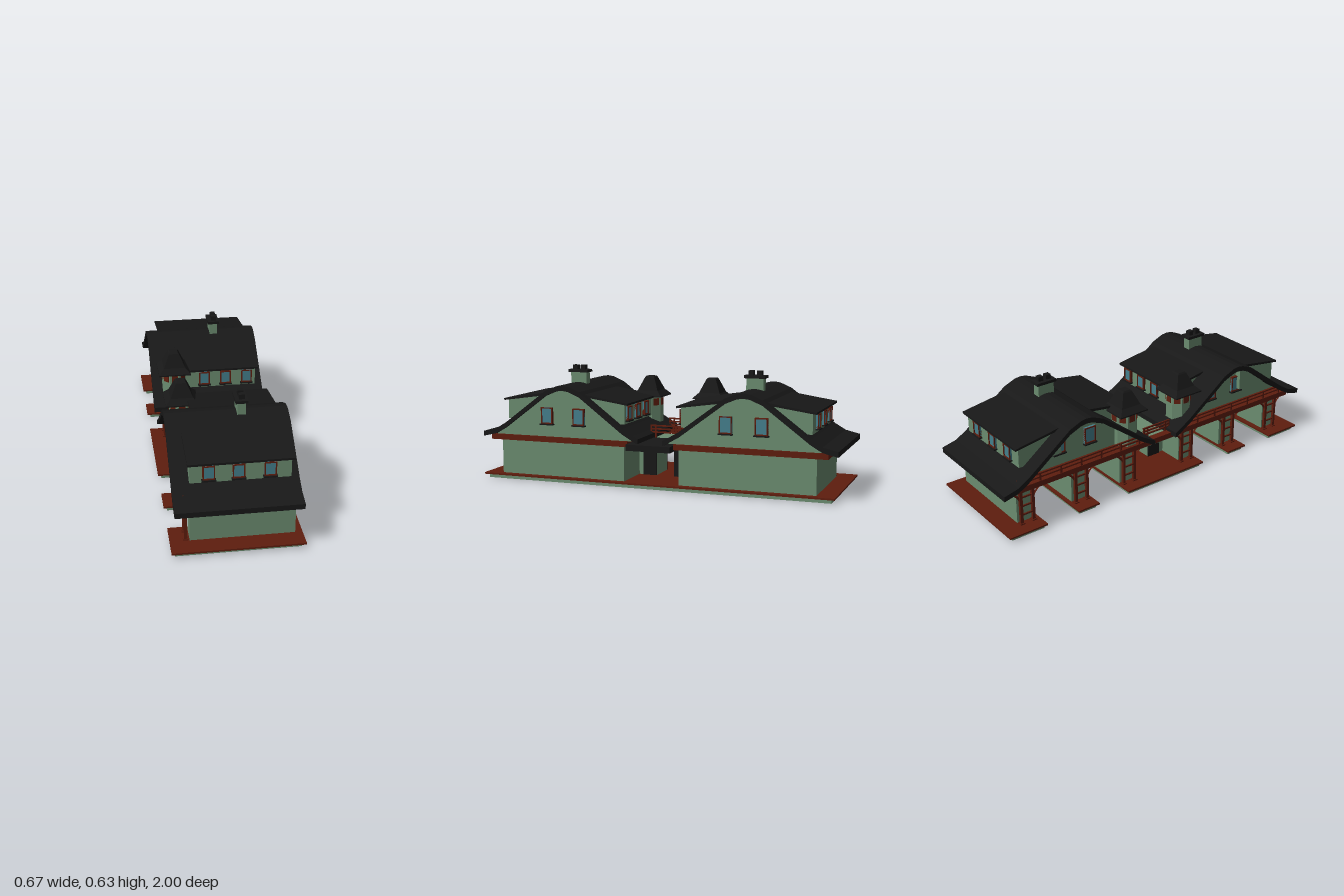
import * as THREE from 'three';

const mat = (color) => new THREE.MeshStandardMaterial({ color, flatShading: true });
const GREEN = mat(0x6b8c70), RED = mat(0x5e1d0e), BLACK = mat(0x181818), GLASS = mat(0x447f8c);

function add(parent, name, geometry, material) {
  const mesh = new THREE.Mesh(geometry, material);
  mesh.name = name;
  parent.add(mesh);
  return mesh;
}

// Box given by its extents
function box(parent, name, material, x0, x1, y0, y1, za, zb) {
  const mesh = add(parent, name, new THREE.BoxGeometry(x1 - x0, y1 - y0, Math.abs(zb - za)), material);
  mesh.position.set((x0 + x1) / 2, (y0 + y1) / 2, (za + zb) / 2);
  return mesh;
}

const toShape = (points) => new THREE.Shape(points.map(([a, b]) => new THREE.Vector2(a, b)));

// Solid with a (z, y) section running along x
function prism(parent, name, material, points, x0, x1) {
  const g = new THREE.ExtrudeGeometry(toShape(points), { depth: x1 - x0, bevelEnabled: false });
  g.rotateY(-Math.PI / 2).translate(x1, 0, 0);
  return add(parent, name, g, material);
}

// Flat slab with an (x, z) outline
function slab(parent, name, material, points, y0, y1) {
  const g = new THREE.ExtrudeGeometry(toShape(points), { depth: y1 - y0, bevelEnabled: false });
  g.rotateX(Math.PI / 2).translate(0, y1, 0);
  return add(parent, name, g, material);
}

// Square bar between two points
function bar(parent, name, a, b, size) {
  const p = new THREE.Vector3(...a), q = new THREE.Vector3(...b);
  const mesh = add(parent, name, new THREE.BoxGeometry(size, size, p.distanceTo(q)), RED);
  mesh.position.copy(p).lerp(q, 0.5);
  mesh.lookAt(q);
}

// Framed window facing +z before it is turned
function addWindow(parent, x, y, z, w, h, turn) {
  const win = new THREE.Group();
  win.name = 'window';
  box(win, 'glass', GLASS, -w / 2, w / 2, -h / 2, h / 2, -0.01, 0.009);
  for (const s of [-1, 1]) {
    const cx = s * (w / 2 - 0.003), cy = s * (h / 2 - 0.003);
    box(win, 'frameSide', RED, cx - 0.003, cx + 0.003, -h / 2, h / 2, -0.01, 0.014);
    box(win, 'frameRail', RED, -w / 2, w / 2, cy - 0.003, cy + 0.003, -0.01, 0.014);
  }
  box(win, 'sill', BLACK, -w / 2 - 0.005, w / 2 + 0.005, -h / 2 - 0.007, -h / 2, -0.01, 0.02);
  win.position.set(x, y, z);
  win.rotation.y = turn;
  parent.add(win);
}

// Comb-shaped floor outline with four car bays cut into the -x side
function floorOutline(x0, x1, zEnd, inset) {
  const bays = [[-0.77, -0.58], [-0.45, -0.26], [0.26, 0.45], [0.58, 0.77]];
  const points = [[x1, -zEnd], [x1, zEnd], [x0, zEnd]];
  for (const [a, b] of bays.reverse()) {
    points.push([x0, b + inset], [0.03 + inset, b + inset], [0.03 + inset, a - inset], [x0, a - inset]);
  }
  points.push([x0, -zEnd]);
  return points;
}

// Pair of posts with base blocks, ties and curved braces to the beam
function postPair(parent, z) {
  const group = new THREE.Group();
  group.name = 'postPair';
  for (const s of [-1, 1]) {
    const pz = z + s * 0.035;
    box(group, 'post', RED, -0.266, -0.251, 0.03, 0.22, pz - 0.008, pz + 0.008);
    box(group, 'postBase', RED, -0.272, -0.245, 0.03, 0.036, pz - 0.013, pz + 0.013);
    box(group, 'postCap', RED, -0.27, -0.247, 0.212, 0.22, pz - 0.012, pz + 0.012);
    const curve = new THREE.QuadraticBezierCurve3(
      new THREE.Vector3(-0.258, 0.15, pz), new THREE.Vector3(-0.258, 0.2, pz + s * 0.01),
      new THREE.Vector3(-0.258, 0.222, pz + s * 0.065));
    add(group, 'brace', new THREE.TubeGeometry(curve, 6, 0.006, 4), RED);
  }
  for (const y of [0.08, 0.13, 0.18]) {
    bar(group, 'tie', [-0.258, y, z - 0.035], [-0.258, y, z + 0.035], 0.008);
  }
  parent.add(group);
}

function chimney(parent, z) {
  box(parent, 'chimneyStack', GREEN, 0.042, 0.086, 0.48, 0.59, z - 0.047, z + 0.047);
  box(parent, 'chimneyCap', BLACK, 0.032, 0.096, 0.59, 0.605, z - 0.058, z + 0.058);
  for (const s of [-1, 1]) {
    box(parent, 'chimneyPot', BLACK, 0.052, 0.081, 0.605, 0.63, z + s * 0.023 - 0.014, z + s * 0.023 + 0.014);
  }
}

// Small eight-sided turret under a flared four-sided roof
function turret(parent, z) {
  const group = new THREE.Group();
  group.name = 'turret';
  const body = add(group, 'turretBody', new THREE.CylinderGeometry(0.07, 0.07, 0.2, 8).rotateY(Math.PI / 8), GREEN);
  body.position.y = 0.35;
  for (let i = 0; i < 8; i++) {
    const a = i * Math.PI / 4;
    const panel = add(group, 'turretPanel', new THREE.BoxGeometry(0.034, 0.04, 0.006), RED);
    panel.position.set(Math.sin(a) * 0.065, 0.41, Math.cos(a) * 0.065);
    panel.rotation.y = a;
  }
  const half = [[0, 0.44], [0.088, 0.44], [0.088, 0.447], [0.06, 0.475], [0.028, 0.548], [0.022, 0.555], [0, 0.555]];
  const profile = half.map(([r, y]) => new THREE.Vector2(r * Math.SQRT2, y));
  add(group, 'turretRoof', new THREE.LatheGeometry(profile, 4).toNonIndexed().rotateY(Math.PI / 4), BLACK);
  group.position.set(-0.2, 0, z);
  parent.add(group);
}

// Shed dormer on the slope facing d along z
function dormer(parent, mid, d, x0, x1, windows) {
  const group = new THREE.Group();
  group.name = 'dormer';
  const place = (points) => points.map(([w, y]) => [mid + d * w, y]);
  prism(group, 'dormerWalls', GREEN, place([[0.35, 0.335], [0.35, 0.444], [0.1, 0.48], [0.1, 0.335]]), x0, x1);
  prism(group, 'dormerRoof', BLACK,
    place([[0.372, 0.438], [0.372, 0.449], [0.12, 0.488], [0.06, 0.518], [0.06, 0.5], [0.12, 0.474]]), x0 - 0.012, x1 + 0.012);
  for (const x of windows) {
    addWindow(group, x, 0.392, mid + d * 0.35, 0.06, 0.075, d > 0 ? 0 : Math.PI);
  }
  parent.add(group);
}

function house(s) {
  const group = new THREE.Group();
  group.name = s > 0 ? 'frontHouse' : 'backHouse';
  const mid = s * 0.51;

  // Ground floor: closed rear block, piers between the bays, beam band
  box(group, 'rearBlock', GREEN, 0.03, 0.283, 0.03, 0.22, s * 0.155, s * 0.89);
  for (const [a, b] of [[0.8, 0.89], [0.46, 0.56], [0.16, 0.25]]) {
    box(group, 'pier', GREEN, -0.24, 0.03, 0.03, 0.22, s * a, s * b);
  }
  box(group, 'beamBand', RED, -0.28, 0.301, 0.22, 0.25, s * 0.13, s * 0.95);
  for (const z of [0.84, 0.51, 0.2]) postPair(group, s * z);

  // Attic and curved gable roof
  const rise = [[0, 0.535], [0.035, 0.53], [0.1, 0.503], [0.35, 0.316], [0.41, 0.281]];
  const slope = (d, tip) => [...rise, tip].map(([w, y]) => [mid + d * s * w, y]);
  const top = [...slope(-1, [0.44, 0.265]).reverse(), ...slope(1, [0.49, 0.262]).slice(1)];
  const under = top.map(([z, y]) => [z, y - 0.028]).reverse();
  prism(group, 'roof', BLACK, [...top, ...under], -0.322, 0.302);
  const gable = top.slice(1, -1).map(([z, y]) => [z, y - 0.015]);
  prism(group, 'attic', GREEN, [[mid - s * 0.41, 0.25], ...gable, [mid + s * 0.41, 0.25]], -0.2, 0.287);
  for (const d of [-1, 1]) {
    addWindow(group, 0.289, 0.367, mid + d * 0.095, 0.068, 0.09, Math.PI / 2);
    addWindow(group, -0.202, 0.367, mid + d * 0.095, 0.068, 0.09, -Math.PI / 2);
  }

  dormer(group, mid, s, -0.235, 0.26, [-0.143, 0.002, 0.155]);
  dormer(group, mid, -s, -0.16, 0.26, [-0.03, 0.09, 0.21]);
  chimney(group, mid);
  turret(group, s * 0.185);

  // Balcony railing above the car bays
  for (const y of [0.27, 0.29]) bar(group, 'balconyRail', [-0.272, y, s * 0.13], [-0.272, y, s * 0.9], 0.008);
  for (let i = 0; i <= 6; i++) {
    const z = s * (0.14 + i * 0.125);
    bar(group, 'balconyPost', [-0.272, 0.25, z], [-0.272, 0.294, z], 0.01);
  }
  return group;
}

// Open passage between the houses, with a canopy and railed terrace
function passage() {
  const group = new THREE.Group();
  group.name = 'passage';
  for (const s of [-1, 1]) {
    box(group, 'passageWall', GREEN, -0.1, 0.06, 0.03, 0.2, s * 0.052, s * 0.16);
    box(group, 'passageDoor', BLACK, 0.055, 0.068, 0.03, 0.187, s * 0.052, s * 0.13);
    box(group, 'passageDoor', BLACK, -0.108, -0.095, 0.03, 0.187, s * 0.052, s * 0.13);
  }
  box(group, 'terrace', GREEN, -0.24, 0.06, 0.19, 0.215, -0.16, 0.16);
  box(group, 'canopy', BLACK, 0.06, 0.335, 0.207, 0.24, -0.125, 0.125);
  box(group, 'passageBeam', RED, -0.28, -0.24, 0.22, 0.25, -0.14, 0.14);
  for (const x of [-0.24, 0.055]) {
    for (const y of [0.27, 0.288, 0.306]) bar(group, 'terraceRail', [x, y, -0.09], [x, y, 0.09], 0.008);
    for (const z of [-0.085, -0.06, 0.06, 0.085]) bar(group, 'terracePost', [x, 0.21, z], [x, 0.306, z], 0.008);
  }
  return group;
}

export function createModel() {
  const model = new THREE.Group();
  model.name = 'garageBuilding';
  slab(model, 'plinth', GREEN, floorOutline(-0.32, 0.3, 0.97, 0.012), 0, 0.022);
  slab(model, 'floor', RED, floorOutline(-0.338, 0.32, 0.99, 0), 0.021, 0.03);
  model.add(house(1), house(-1), passage());
  return model;
}
